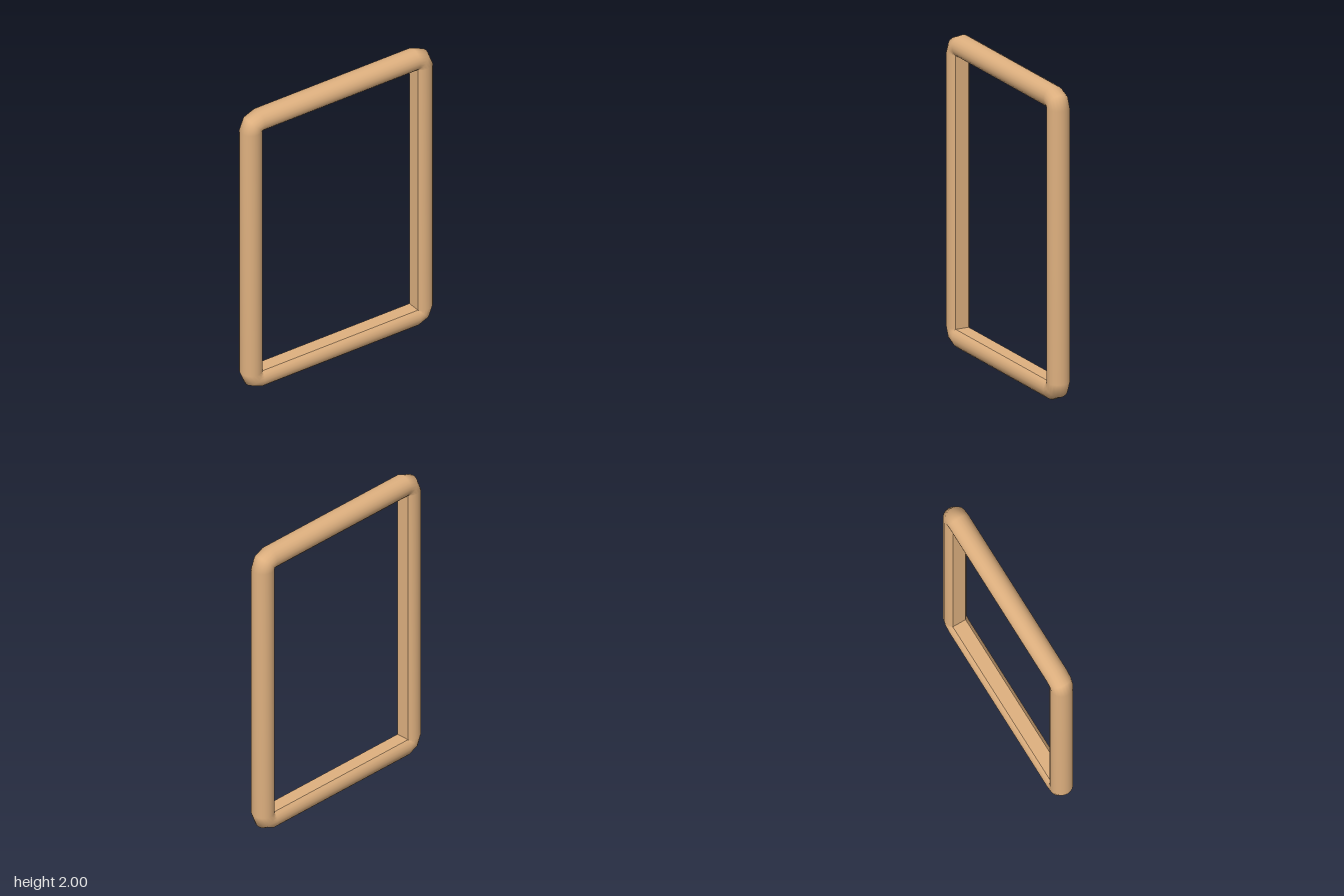
import * as THREE from 'three';

// Opening half-sizes and the round rail section
const HALF_W = 0.579, HALF_H = 0.873, MID_Y = 1;
const RADIUS = 0.0715, OFFSET = 0.0555;
const CORNER_STEPS = 2;

// Sweep a section of [reach, z] points round the opening, pivoting at each corner
function sweepSection(section) {
  const pos = [], index = [], n = section.length;
  const signs = [[1, 1], [-1, 1], [-1, -1], [1, -1]];
  signs.forEach(([sx, sy], q) => {
    for (let k = 0; k <= CORNER_STEPS; k++) {
      const a = (q + k / CORNER_STEPS) * Math.PI / 2;
      for (const [r, z] of section) {
        pos.push(sx * HALF_W + r * Math.cos(a), MID_Y + sy * HALF_H + r * Math.sin(a), z);
      }
    }
  });
  const stations = 4 * (CORNER_STEPS + 1);
  for (let i = 0; i < stations; i++) {
    const next = (i + 1) % stations;
    for (let j = 0; j < n - 1; j++) {
      const a = i * n + j, b = next * n + j;
      index.push(a, b, b + 1, a, b + 1, a + 1);
    }
  }
  const geo = new THREE.BufferGeometry();
  geo.setAttribute('position', new THREE.Float32BufferAttribute(pos, 3));
  geo.setIndex(index);
  geo.computeVertexNormals();
  return geo;
}

export function createModel() {
  const group = new THREE.Group();
  group.name = 'pictureFrame';
  const wood = new THREE.MeshStandardMaterial({ color: 0xdeb07f });

  // Rounded rail: circular arc from the back inner edge, outward, to the front inner edge
  const limit = Math.PI - Math.acos(OFFSET / RADIUS);
  const arc = [];
  for (let i = 0; i <= 16; i++) {
    const t = -limit + 2 * limit * i / 16;
    arc.push([Math.max(0, OFFSET + RADIUS * Math.cos(t)), RADIUS * Math.sin(t)]);
  }
  const rail = new THREE.Mesh(sweepSection(arc), wood);
  rail.name = 'roundedRail';
  group.add(rail);

  // Flat wall lining the opening: one face per side
  const depth = 2 * RADIUS * Math.sin(limit);
  for (let i = 0; i < 4; i++) {
    const upright = i % 2 === 0;
    const a = i * Math.PI / 2;
    const wall = new THREE.Mesh(new THREE.PlaneGeometry(depth, 2 * (upright ? HALF_H : HALF_W)), wood);
    wall.name = 'innerWall';
    wall.rotation.set(0, -Math.PI / 2, 0);
    const side = new THREE.Group();
    side.name = 'openingSide';
    wall.position.x = upright ? HALF_W : HALF_H;
    side.add(wall);
    side.position.y = MID_Y;
    side.rotation.z = a;
    group.add(side);
  }
  return group;
}
